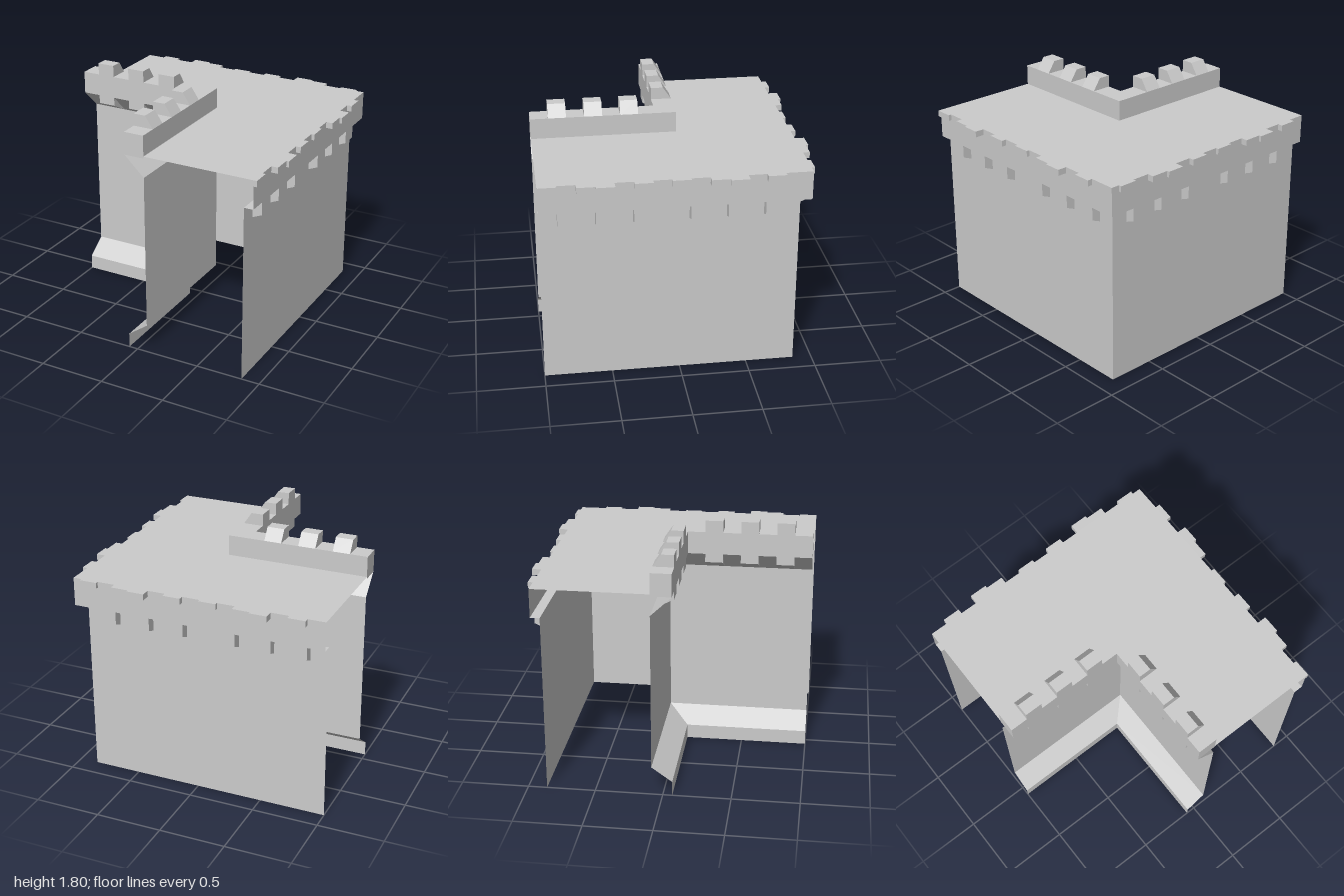
import * as THREE from 'three';

// Each arm is described by d (distance outwards), y, and s (distance along the arm).
// Back arm: x = s, z = -d.  Side arm: x = d, z = -s.
const END = -1, INNER = -0.07, WALL = 0.083, OUTER = 0.86, EDGE = 0.93;
const PITCH = 0.2667, W = 0.133;

const material = new THREE.MeshStandardMaterial({
  color: 0xcccccc, flatShading: true, side: THREE.DoubleSide,
});

function addMesh(parent, name, geometry) {
  const mesh = new THREE.Mesh(geometry, material);
  mesh.name = name;
  parent.add(mesh);
}

// Open sheet along one arm, mitred where the two arms meet
function sheet(profile, side) {
  const pos = [];
  const put = (s, [d, y]) => (side ? pos.push(d, y, -s) : pos.push(s, y, -d));
  for (let i = 0; i < profile.length - 1; i++) {
    const p = profile[i], q = profile[i + 1];
    let quad = [[END, p], [p[0], p], [q[0], q], [END, q]];
    if (side) quad = quad.reverse();
    for (const k of [0, 1, 2, 0, 2, 3]) put(...quad[k]);
  }
  const g = new THREE.BufferGeometry();
  g.setAttribute('position', new THREE.Float32BufferAttribute(pos, 3));
  g.computeVertexNormals();
  return g;
}

// Solid with a (d, y) cross-section running from s0 to s1
function prism(section, s0, s1, side) {
  const shape = new THREE.Shape(section.map(([d, y]) => new THREE.Vector2(d, y)));
  const g = new THREE.ExtrudeGeometry(shape, { depth: s1 - s0, bevelEnabled: false });
  return side ? g.translate(0, 0, -s1) : g.translate(0, 0, s0).rotateY(Math.PI / 2);
}

const rect = (d0, d1, y0, y1) => [[d0, y0], [d1, y0], [d1, y1], [d0, y1]];

const sheets = {
  innerPlinth: [[INNER, 0], [INNER, 0.11], [WALL, 0.22]],
  innerWall: [[WALL, 0.22], [WALL, 1.4]],
  innerOverhang: [[WALL, 1.4], [INNER, 1.545]],
  parapet: [[INNER, 1.545], [INNER, 1.715], [WALL, 1.715], [WALL, 1.56]],
  walkway: [[WALL, 1.56], [EDGE, 1.56]],
  outerCornice: [[EDGE, 1.56], [EDGE, 1.345], [OUTER, 1.345]],
  outerWall: [[OUTER, 1.345], [OUTER, 0]],
};

const merlon = [[INNER, 1.715], [WALL, 1.715], [0.022, 1.805], [INNER, 1.805]];
const innerCorbel = [[WALL, 1.4], [INNER, 1.545], [INNER, 1.48]];
const outerCorbel = [[OUTER, 1.22], [EDGE, 1.25], [EDGE, 1.345], [OUTER, 1.345]];

// Edge stones: offset along the edge, outer reach
const stones = [[0, 0.967], [0.267, 1], [0.4, 0.98], [0.667, 0.953]];

function buildArm(side) {
  const arm = new THREE.Group();
  arm.name = side ? 'sideArm' : 'backArm';

  for (const [name, profile] of Object.entries(sheets)) addMesh(arm, name, sheet(profile, side));

  // End face of the parapet
  const cap = new THREE.ShapeGeometry(new THREE.Shape(
    rect(INNER, WALL, 1.545, 1.715).map(([d, y]) => new THREE.Vector2(d, y))));
  cap.translate(0, 0, side ? 1 : -1);
  if (!side) cap.rotateY(Math.PI / 2);
  addMesh(arm, 'parapetEnd', cap);

  // Merlons with corbels beneath them
  for (let k = 0; k < 3; k++) {
    const s = -0.867 + k * PITCH;
    addMesh(arm, 'merlon', prism(merlon, s, s + W, side));
    addMesh(arm, 'innerCorbel', prism(innerCorbel, s, s + W, side));
  }

  // Two runs of corbels under the outer cornice
  for (const k of [0, 1, 2, 3.5, 4.5, 5.5]) {
    const s = -0.867 + k * PITCH;
    addMesh(arm, 'outerCorbel', prism(outerCorbel, s, s + W, side));
  }

  // Projecting stones along the walkway edge, same pattern twice
  for (let run = 0; run < 2; run++) {
    for (const [offset, reach] of stones) {
      const a = (side ? -0.733 : -0.867) + run * 0.933 + offset;
      const s = side ? -(a + W) : a;
      addMesh(arm, 'edgeStone', prism(rect(EDGE, reach, 1.515, 1.56), s, s + W, side));
    }
  }
  return arm;
}

export function createModel() {
  const model = new THREE.Group();
  model.name = 'castleWallCorner';
  model.add(buildArm(false), buildArm(true));
  return model;
}
